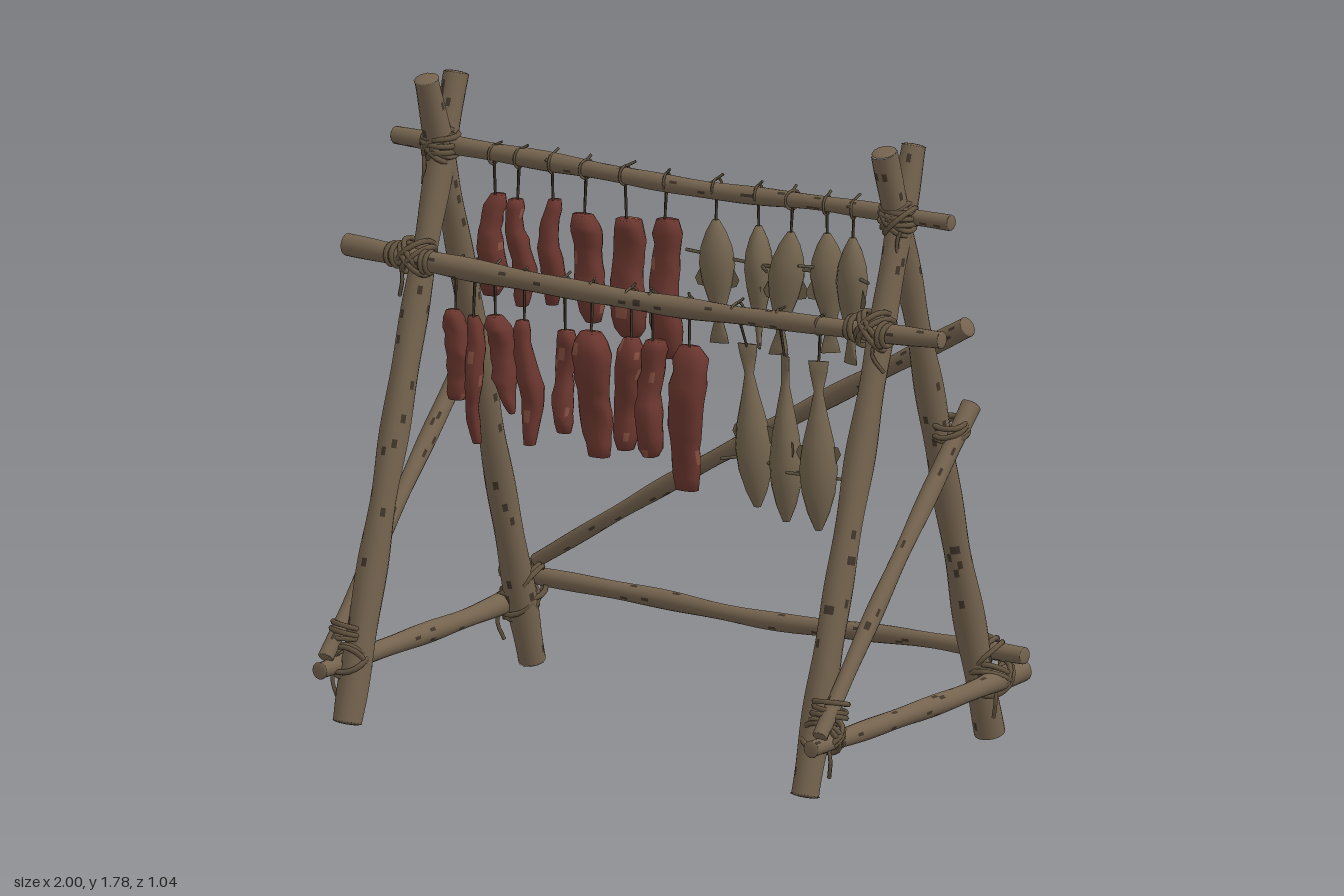
import * as THREE from 'three';

const mat = (name, color, side = THREE.FrontSide) => {
  const m = new THREE.MeshStandardMaterial({ color, side });
  m.name = name;
  return m;
};
const V = (x, y, z) => new THREE.Vector3(x, y, z);

export function createModel() {
  const root = new THREE.Group();
  root.name = 'dryingRack';
  const wood = mat('wood', 0x74634e), bark = mat('dark bark', 0x40352a);
  const rope = mat('rope', 0x635440), cord = mat('cord', 0x453b2e);
  const meat = mat('dried meat', 0x6a362e), fat = mat('meat fat', 0x865040);
  const fish = mat('dried fish', 0x74654f), fin = mat('fish fin', 0x655843, THREE.DoubleSide);
  const twig = mat('twig', 0x5a523f);

  let seed = 7;
  const rnd = () => (seed = (seed * 16807) % 2147483647) / 2147483647;
  const jit = (a) => (rnd() * 2 - 1) * a;

  const add = (parent, name, geo, material) => {
    const m = new THREE.Mesh(geo, material);
    m.name = name;
    parent.add(m);
    return m;
  };

  // Moves a random share of the quads into a second material group
  const speckle = (geo, chance) => {
    const src = geo.index.array, main = [], spots = [];
    for (let i = 0; i < src.length; i += 6) {
      (rnd() < chance ? spots : main).push(...src.slice(i, i + 6));
    }
    geo.setIndex([...main, ...spots]);
    geo.addGroup(0, main.length, 0);
    geo.addGroup(main.length, spots.length, 1);
    return geo;
  };

  // Slightly crooked log through the given points, with closed ends
  const log = (name, pts, r0, r1 = r0) => {
    const curve = new THREE.CatmullRomCurve3(pts);
    const n = Math.round(curve.getLength() / 0.024), sides = 18;
    const geo = new THREE.TubeGeometry(curve, n, 1, sides);
    const pos = geo.attributes.position, p = V(), ph = rnd() * 6;
    for (let j = 0; j <= n; j++) {
      const t = j / n, c = curve.getPointAt(t);
      for (let i = 0; i <= sides; i++) {
        const k = j * (sides + 1) + i, a = (i / sides) * Math.PI * 2;
        const lump = 1 + 0.06 * Math.sin(j * 0.42 + ph) + 0.05 * Math.sin(2 * a + j * 0.23);
        p.fromBufferAttribute(pos, k).sub(c).multiplyScalar((r0 + (r1 - r0) * t) * lump).add(c);
        pos.setXYZ(k, p.x, p.y, p.z);
      }
    }
    const g = new THREE.Group();
    g.name = name;
    add(g, 'trunk', speckle(geo, 0.03), [wood, bark]);
    [[0, -1, r0], [1, 1, r1]].forEach(([t, s, r]) => {
      const cap = add(g, 'cutEnd', new THREE.SphereGeometry(r, 12, 4, 0, Math.PI * 2, 0, Math.PI / 2), wood);
      cap.scale.y = 0.2;
      cap.position.copy(curve.getPointAt(t));
      cap.quaternion.setFromUnitVectors(V(0, 1, 0), curve.getTangentAt(t).multiplyScalar(s));
    });
    root.add(g);
  };

  // Rope rings round an axis
  const rings = (parent, p, axis, R, n, gap = 0.018) => {
    axis = axis.clone().normalize();
    for (let k = 0; k < n; k++) {
      const m = add(parent, 'ropeTurn', new THREE.TorusGeometry(R + jit(0.003), 0.008, 6, 18), rope);
      m.position.copy(p).addScaledVector(axis, (k - (n - 1) / 2) * gap);
      m.quaternion.setFromUnitVectors(V(0, 0, 1), axis.clone().add(V(jit(0.12), jit(0.12), jit(0.12))).normalize());
    }
  };
  // Crossed lashing where two logs meet, with a loose end
  const lash = (p, d1, d2, R) => {
    const g = new THREE.Group();
    g.name = 'lashing';
    const a = d1.clone().normalize(), b = d2.clone().normalize();
    rings(g, p, a.clone().add(b), R, 2);
    rings(g, p, a.clone().sub(b), R, 2);
    const s = p.clone().add(V(Math.sign(p.x) * 0.035, -0.01, 0.03));
    const end = new THREE.CatmullRomCurve3([s, s.clone().add(V(jit(0.02), -0.05, 0.01)), s.clone().add(V(jit(0.02), -0.1, 0))]);
    add(g, 'ropeEnd', new THREE.TubeGeometry(end, 6, 0.006, 5), rope);
    root.add(g);
  };
  // Plain wrapping round one log
  const wrap = (p, axis, R, n) => {
    const g = new THREE.Group();
    g.name = 'wrapping';
    rings(g, p, axis, R, n);
    root.add(g);
  };

  // End frames: crossed legs, foot bar and slanting brace
  const X = V(1, 0, 0), Y = V(0, 1, 0), Z = V(0, 0, 1);
  const frontDir = V(0, 1.76, -0.53), backDir = V(0, 1.77, 0.515);
  for (const s of [-1, 1]) {
    const x = s < 0 ? -0.777 : 0.76, o = s * 0.825;
    log('frontLeg', [V(x, 0.01, 0.45), V(x + 0.005, 0.6, 0.285), V(x, 1.2, 0.095), V(x, 1.75, -0.08)], 0.043, 0.036);
    log('backLeg', [V(x, 0.01, -0.45), V(x - 0.005, 0.6, -0.285), V(x, 1.2, -0.11), V(x, 1.76, 0.065)], 0.043, 0.036);
    log('footBar', [V(o, 0.16, 0.515), V(o, 0.165, 0.1), V(o, 0.17, -0.2), V(o, 0.185, -0.515)], 0.025, 0.031);
    log('sideBrace', [V(s * 0.83, 0.19, 0.48), V(s * 0.825, 0.55, 0.15), V(s * 0.825, 0.985, -0.265)], 0.022, 0.027);
    lash(V(s * 0.795, 0.175, 0.41), frontDir, Z, 0.056);
    lash(V(s * 0.795, 0.185, -0.41), backDir, Z, 0.056);
    lash(V(x, 0.24, -0.42), backDir, X, 0.06);
    lash(V(x, 1.265, 0.11), frontDir, X, 0.058);
    lash(V(x, 1.56, -0.005), Y, X, 0.052);
    wrap(V(s * 0.8, 0.93, -0.2), backDir, 0.047, 3);
    wrap(V(s * 0.81, 0.25, 0.4), frontDir, 0.047, 3);
    wrap(V(x, 1.57, -0.005), Y, 0.05, 3);
    wrap(V(x + 0.055, 1.262, 0.138), X, 0.031, 2);
    wrap(V(x - 0.055, 1.27, 0.136), X, 0.031, 2);
  }

  // Long poles
  log('topPole', [V(-0.935, 1.565, -0.015), V(-0.4, 1.557, -0.02), V(0.1, 1.55, -0.015), V(0.5, 1.563, -0.02), V(0.93, 1.567, -0.015)], 0.027, 0.022);
  log('frontPole', [V(-0.995, 1.275, 0.135), V(-0.4, 1.255, 0.14), V(0.1, 1.25, 0.145), V(0.5, 1.258, 0.14), V(0.995, 1.27, 0.125)], 0.031, 0.025);
  log('backBar', [V(-0.89, 0.245, -0.475), V(-0.4, 0.235, -0.475), V(0, 0.222, -0.47), V(0.5, 0.242, -0.46), V(0.88, 0.245, -0.445)], 0.026, 0.024);
  log('backDiagonal', [V(-0.77, 0.29, -0.46), V(-0.25, 0.61, -0.42), V(0.2, 0.87, -0.385), V(0.75, 1.18, -0.355)], 0.021, 0.029);

  // Closed body from rounded-box sections [y, cx, cz, rx, rz], listed top to bottom
  const loft = (sections, sides, power) => {
    const v = [], idx = [], n = sections.length;
    const bulge = (q) => Math.sign(q) * Math.abs(q) ** power;
    for (const [y, cx, cz, rx, rz] of sections) {
      for (let j = 0; j < sides; j++) {
        const a = ((j + 0.5) / sides) * Math.PI * 2;
        v.push(cx + bulge(Math.cos(a)) * rx, y, cz + bulge(Math.sin(a)) * rz);
      }
    }
    const [f, l] = [sections[0], sections[n - 1]], c = n * sides;
    v.push(f[1], f[0], f[2], l[1], l[0], l[2]);
    for (let j = 0; j < sides; j++) {
      const k = (j + 1) % sides;
      for (let i = 0; i < n - 1; i++) {
        const a = i * sides + j, b = i * sides + k;
        idx.push(a, b, a + sides, b, b + sides, a + sides);
      }
      idx.push(c, k, j, c + 1, c - sides + j, c - sides + k);
    }
    const geo = new THREE.BufferGeometry();
    geo.setAttribute('position', new THREE.Float32BufferAttribute(v, 3));
    geo.setIndex(idx);
    geo.computeVertexNormals();
    return geo;
  };

  const stick = (parent, name, a, b, r, material) => {
    const m = add(parent, name, new THREE.CylinderGeometry(r, r, a.distanceTo(b), 6), material);
    m.position.copy(a).add(b).multiplyScalar(0.5);
    m.quaternion.setFromUnitVectors(V(0, 1, 0), b.clone().sub(a).normalize());
  };

  // Cord looped over a pole, with a small peg on top
  const hanger = (g, x, poleY, poleZ, z, top) => {
    for (const d of [-0.006, 0.006]) stick(g, 'cord', V(x + d, poleY, poleZ + d), V(x, top - 0.015, z), 0.0035, cord);
    const loop = add(g, 'cordLoop', new THREE.TorusGeometry(0.027, 0.004, 5, 14), rope);
    loop.position.set(x, poleY, poleZ);
    loop.rotation.y = Math.PI / 2 + jit(0.3);
    const e = V(0.015 + jit(0.015), 0.015, jit(0.025)), c = V(x, poleY + 0.025, poleZ);
    stick(g, 'peg', c.clone().sub(e), c.clone().add(e), 0.004, twig);
  };

  // Meat strips: x, top, bottom, half width, sideways drift, bottom taper
  const hangMeat = (poleY, poleZ, [x, top, bottom, w, lean, taper = 0.65]) => {
    const g = new THREE.Group(), z = poleZ + jit(0.012);
    g.name = 'meatStrip';
    hanger(g, x, poleY, poleZ, z, top);
    const sec = [], n = 12, ph = rnd() * 6, depth = Math.min(w, 0.036);
    for (let i = 0; i < n; i++) {
      const t = i / (n - 1);
      const ends = i === 0 ? 0.72 : i === n - 1 ? taper * 0.8 : t > 0.6 ? 1 - (1 - taper) * (t - 0.6) * 2.5 : 1;
      const swell = ends * (0.92 + 0.12 * Math.sin(t * 3 - 0.3) + 0.1 * Math.sin(t * 8 + ph));
      sec.push([top + (bottom - top) * t + (i % (n - 1) ? jit(0.006) : 0), x + lean * t + 0.006 * Math.sin(t * 7 + ph) + jit(0.003),
        z + 0.01 * Math.sin(t * 6 + ph * 2), w * (swell + jit(0.12)), depth * (swell + jit(0.12))]);
    }
    add(g, 'meat', speckle(loft(sec, 12, 0.75), 0.03), [meat, fat]);
    root.add(g);
  };
  [[-0.605, 1.44, 1.15, 0.032, -0.02, 0.9], [-0.52, 1.44, 1.14, 0.028, 0.02, 0.9], [-0.41, 1.45, 1.15, 0.028, -0.01, 0.9],
    [-0.295, 1.43, 1.13, 0.043, 0.03], [-0.165, 1.43, 1.1, 0.046, 0.015, 0.9], [-0.025, 1.45, 1.06, 0.043, 0.01, 0.8],
  ].forEach((m) => hangMeat(1.555, -0.015, m));
  [[-0.63, 1.14, 0.89, 0.036, 0.02, 0.9], [-0.565, 1.13, 0.77, 0.023, 0.01, 0.6], [-0.5, 1.14, 0.87, 0.034, 0.055, 0.25],
    [-0.4, 1.14, 0.79, 0.029, 0.025, 0.8], [-0.265, 1.13, 0.84, 0.027, -0.005, 0.8], [-0.17, 1.14, 0.79, 0.052, 0.02, 0.6],
    [-0.04, 1.14, 0.82, 0.035, -0.025, 0.8], [0.03, 1.14, 0.81, 0.035, -0.01, 0.8], [0.155, 1.14, 0.73, 0.05, -0.015, 0.75],
  ].forEach((m) => hangMeat(1.255, 0.135, m));

  // Fish outline from tail to snout: [t, rx, rz]
  const outline = [[0, 0.03, 0.006], [0.07, 0.025, 0.008], [0.18, 0.013, 0.012], [0.32, 0.026, 0.024], [0.48, 0.044, 0.037],
    [0.64, 0.054, 0.045], [0.78, 0.047, 0.041], [0.9, 0.031, 0.028], [1, 0.01, 0.01]];
  // Each fish: x, z of its body, top, bottom, sideways drift, turn
  const hangFish = (poleY, poleZ, [x, z, top, bottom, lean, turn], headUp) => {
    const g = new THREE.Group(), body = new THREE.Group(), L = top - bottom;
    g.name = 'fish';
    hanger(g, x, poleY, poleZ, z, top);
    const rows = headUp ? outline.map(([t, a, b]) => [1 - t, a * 0.95, b * 0.9]).reverse() : outline;
    add(body, 'fishBody', loft(rows.map(([t, a, b]) => [-L * t, lean * t, 0, a, b]), 14, 1), fish);
    const mid = headUp ? 0.38 : 0.62, cy = -L * mid, cx = lean * mid, d = headUp ? -1 : 1;
    for (const s of [-1, 1]) {
      const shape = new THREE.Shape([[0.035, -0.02], [0.064, 0.035], [0.056, 0.055], [0.025, 0.06]]
        .map(([a, b]) => new THREE.Vector2(cx + s * a, cy + d * b)));
      add(body, 'fin', new THREE.ShapeGeometry(shape), fin);
    }
    // Splint that holds the belly open
    const e = V(0.09, jit(0.02), jit(0.03)), c = V(cx, cy - 0.03 * d, 0);
    stick(body, 'splint', c.clone().sub(e), c.clone().add(e), 0.005, twig);
    body.position.set(x, top, z);
    body.rotation.y = turn;
    g.add(body);
    root.add(g);
  };
  [[0.14, -0.015, 1.47, 1.12, 0.01, 0.3], [0.28, -0.02, 1.47, 1.13, 0.02, -0.9], [0.395, -0.01, 1.47, 1.12, -0.035, 0.4],
    [0.51, -0.02, 1.48, 1.14, 0.01, 0.8], [0.6, -0.015, 1.48, 1.12, -0.01, -0.3],
  ].forEach((f) => hangFish(1.56, -0.02, f, true));
  [[0.315, 0.085, 1.16, 0.7, 0.03, 0.2], [0.455, 0.105, 1.15, 0.68, 0.01, -0.6], [0.595, 0.145, 1.16, 0.68, 0, 0.35],
  ].forEach((f) => hangFish(1.26, 0.135, f, false));

  return root;
}
